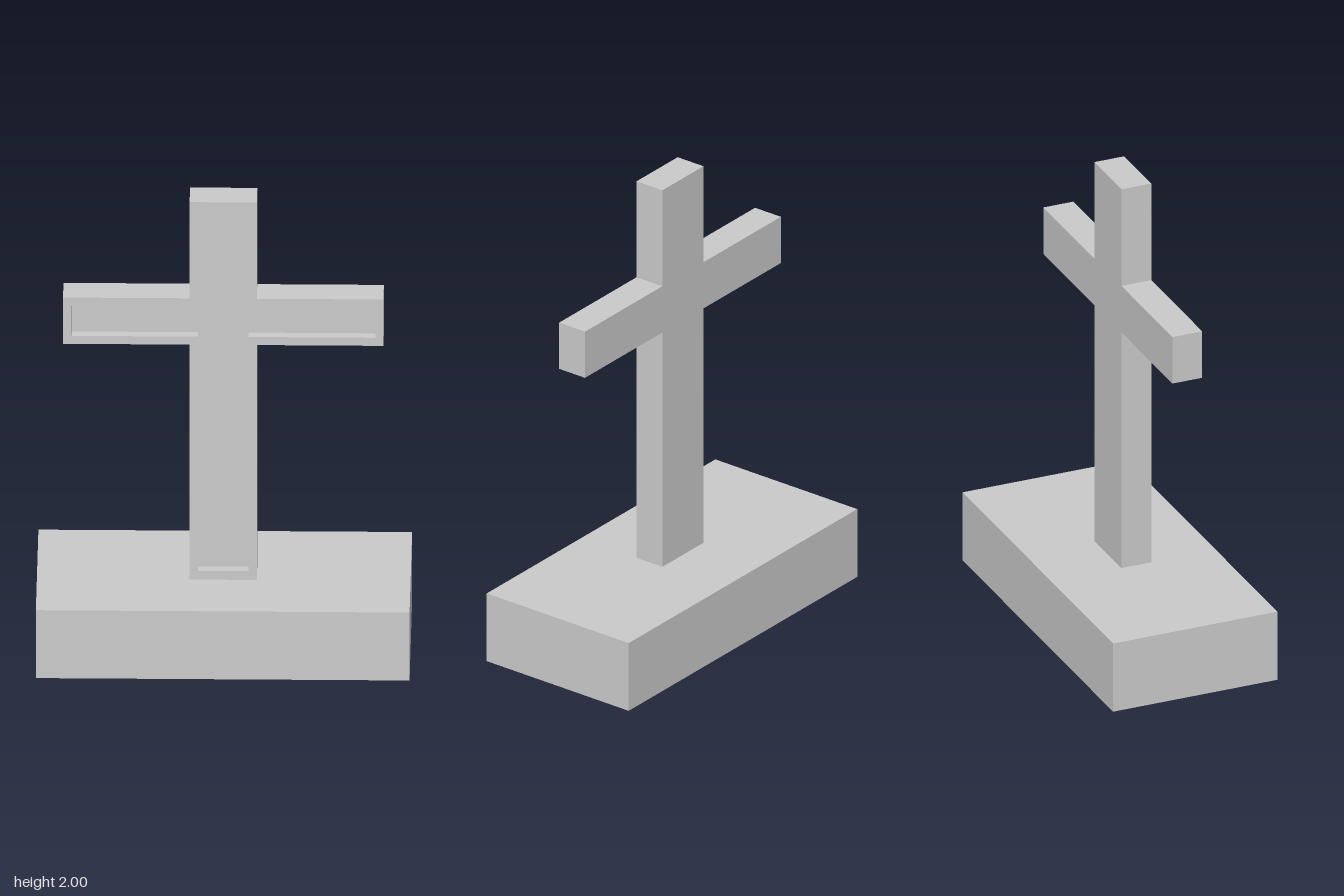
import * as THREE from 'three';

const BACK = -0.054, FRONT = 0.077, RECESS = 0.04;

// Corner points of a cross, counter-clockwise from the bottom left
function crossPoints({ post, arm, armY, bottom, top }) {
  const [pl, pr] = post, [al, ar] = arm, [y0, y1] = armY;
  return [
    [pl, bottom], [pr, bottom], [pr, y0], [ar, y0], [ar, y1], [pr, y1],
    [pr, top], [pl, top], [pl, y1], [al, y1], [al, y0], [pl, y0],
  ].map(([x, y]) => new THREE.Vector2(x, y));
}

export function createModel() {
  const model = new THREE.Group();
  const material = new THREE.MeshStandardMaterial({ color: 0xcccccc });

  const add = (name, geometry, x, y, z) => {
    const mesh = new THREE.Mesh(geometry, material);
    mesh.name = name;
    mesh.position.set(x, y, z);
    model.add(mesh);
  };

  const outer = crossPoints({
    post: [-0.137, 0.133], arm: [-0.645, 0.641], armY: [1.36, 1.568], bottom: 0.305, top: 2,
  });
  const inner = crossPoints({
    post: [-0.104, 0.1], arm: [-0.612, 0.609], armY: [1.396, 1.532], bottom: 0.344, top: 1.965,
  });
  const extrude = (shape, depth) =>
    new THREE.ExtrudeGeometry(shape, { depth, bevelEnabled: false });

  // Rectangular plinth
  add('base', new THREE.BoxGeometry(1.5, 0.305, 0.72), 0, 0.1525, 0);

  // Solid back of the cross, whose front is the floor of the recess
  add('crossBody', extrude(new THREE.Shape(outer), FRONT - RECESS - BACK), 0, 0, BACK);

  // Raised border around the recess
  const rim = new THREE.Shape(outer);
  rim.holes.push(new THREE.Path(inner));
  add('crossRim', extrude(rim, RECESS), 0, 0, FRONT - RECESS);

  return model;
}
